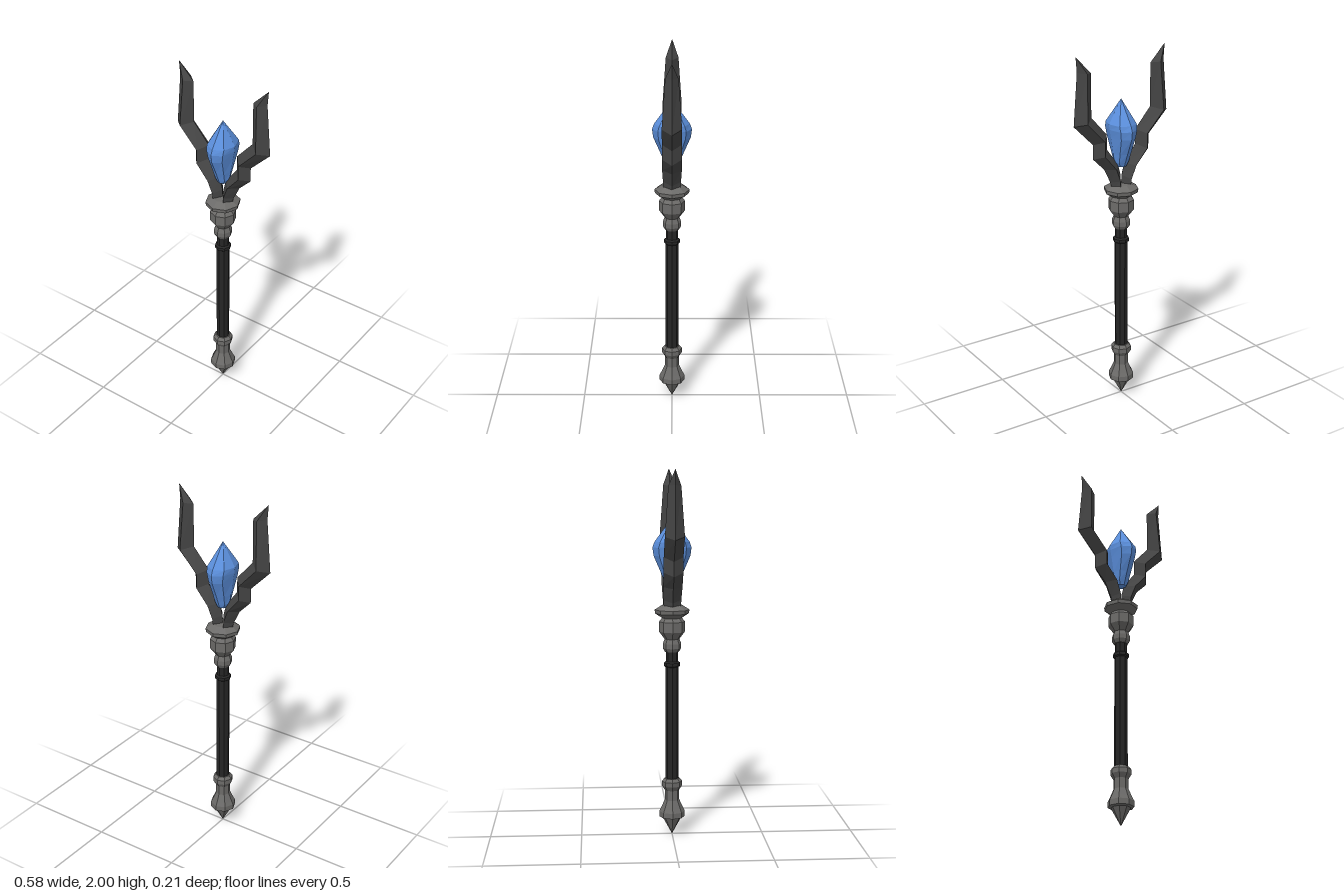
import * as THREE from 'three';

const darkMetal = new THREE.MeshStandardMaterial({ color: 0x444444 });
const greyMetal = new THREE.MeshStandardMaterial({ color: 0x6c6b69 });
const blackGrip = new THREE.MeshStandardMaterial({ color: 0x262626 });
const blueCrystal = new THREE.MeshStandardMaterial({ color: 0x5b8fdc });

// Split the faces so that every facet is flat
function facet(geometry) {
  const flat = geometry.index ? geometry.toNonIndexed() : geometry;
  flat.computeVertexNormals();
  return flat;
}

// Skin a stack of rings, listed bottom to top, each counter-clockwise from above
function loft(rings) {
  const n = rings[0].length;
  const index = [];
  for (let i = 0; i < rings.length - 1; i++) {
    for (let j = 0; j < n; j++) {
      const a = i * n + j, b = i * n + (j + 1) % n;
      index.push(a, b, b + n, a, b + n, a + n);
    }
  }
  const top = (rings.length - 1) * n;
  for (let j = 1; j < n - 1; j++) {
    index.push(0, j + 1, j, top, top + j, top + j + 1);
  }
  const g = new THREE.BufferGeometry();
  g.setAttribute('position', new THREE.Float32BufferAttribute(rings.flat(2), 3));
  g.setIndex(index);
  return facet(g);
}

export function createModel() {
  const model = new THREE.Group();
  model.name = 'staff';
  const add = (name, geometry, material) => {
    const mesh = new THREE.Mesh(geometry, material);
    mesh.name = name;
    model.add(mesh);
    return mesh;
  };
  // Eight-sided turned part; profile is [radius, height] from the bottom up
  const turned = (name, profile, material) =>
    add(name, facet(new THREE.LatheGeometry(profile.map(p => new THREE.Vector2(...p)), 8)), material);

  turned('pommel', [
    [0, 0], [0.052, 0.095], [0.07, 0.1], [0.07, 0.13], [0.06, 0.15], [0.04, 0.195],
    [0.04, 0.25], [0.056, 0.275], [0.056, 0.3], [0.042, 0.317], [0, 0.317],
  ], greyMetal);

  turned('shaft', [[0.036, 0.3], [0.036, 0.945], [0.033, 0.96], [0.033, 1.03]], blackGrip);
  turned('gripRing', [
    [0.034, 0.935], [0.044, 0.943], [0.044, 0.96], [0.034, 0.968],
  ], blackGrip);

  turned('collar', [
    [0, 1.02], [0.038, 1.02], [0.05, 1.04], [0.05, 1.065], [0.04, 1.09], [0.07, 1.13],
    [0.07, 1.185], [0.054, 1.205], [0.092, 1.23], [0.094, 1.25], [0.055, 1.275], [0, 1.275],
  ], greyMetal);

  // Jagged prongs with a diamond section: [outer x, y, inner x, y, half depth]
  const section = [
    [0.06, 1.25, 0.002, 1.25, 0.045],
    [0.068, 1.29, 0.003, 1.32, 0.048],
    [0.106, 1.37, 0.02, 1.385, 0.052],
    [0.175, 1.44, 0.09, 1.48, 0.052],
    [0.175, 1.52, 0.09, 1.562, 0.052],
    [0.291, 1.638, 0.184, 1.67, 0.052],
    [0.247, 1.92, 0.184, 1.907, 0.034],
    [0.274, 2.0, 0.272, 1.998, 0.001],
  ];
  // The upper outer edge leans out to meet the tip
  section[6][0] = 0.268;
  const prong = loft(section.map(([ox, oy, ix, iy, d]) => {
    const mx = (ox + ix) / 2, my = (oy + iy) / 2;
    return [[ox, oy, 0], [mx, my, -d], [ix, iy, 0], [mx, my, d]];
  }));
  add('leftProng', prong, darkMetal);
  add('rightProng', prong, darkMetal).rotation.y = Math.PI;

  // Crystal, deeper than wide: [height, half width, half depth]
  const crystal = [
    [1.375, 0.028, 0.03], [1.4, 0.042, 0.04], [1.45, 0.05, 0.06],
    [1.54, 0.064, 0.099], [1.585, 0.073, 0.105], [1.615, 0.075, 0.094], [1.742, 0.001, 0.001],
  ].map(([y, w, d]) => Array.from({ length: 8 }, (_, k) => {
    const a = k * Math.PI / 4;
    return [w * Math.cos(a), y, -d * Math.sin(a)];
  }));
  add('crystal', loft(crystal), blueCrystal);

  return model;
}
